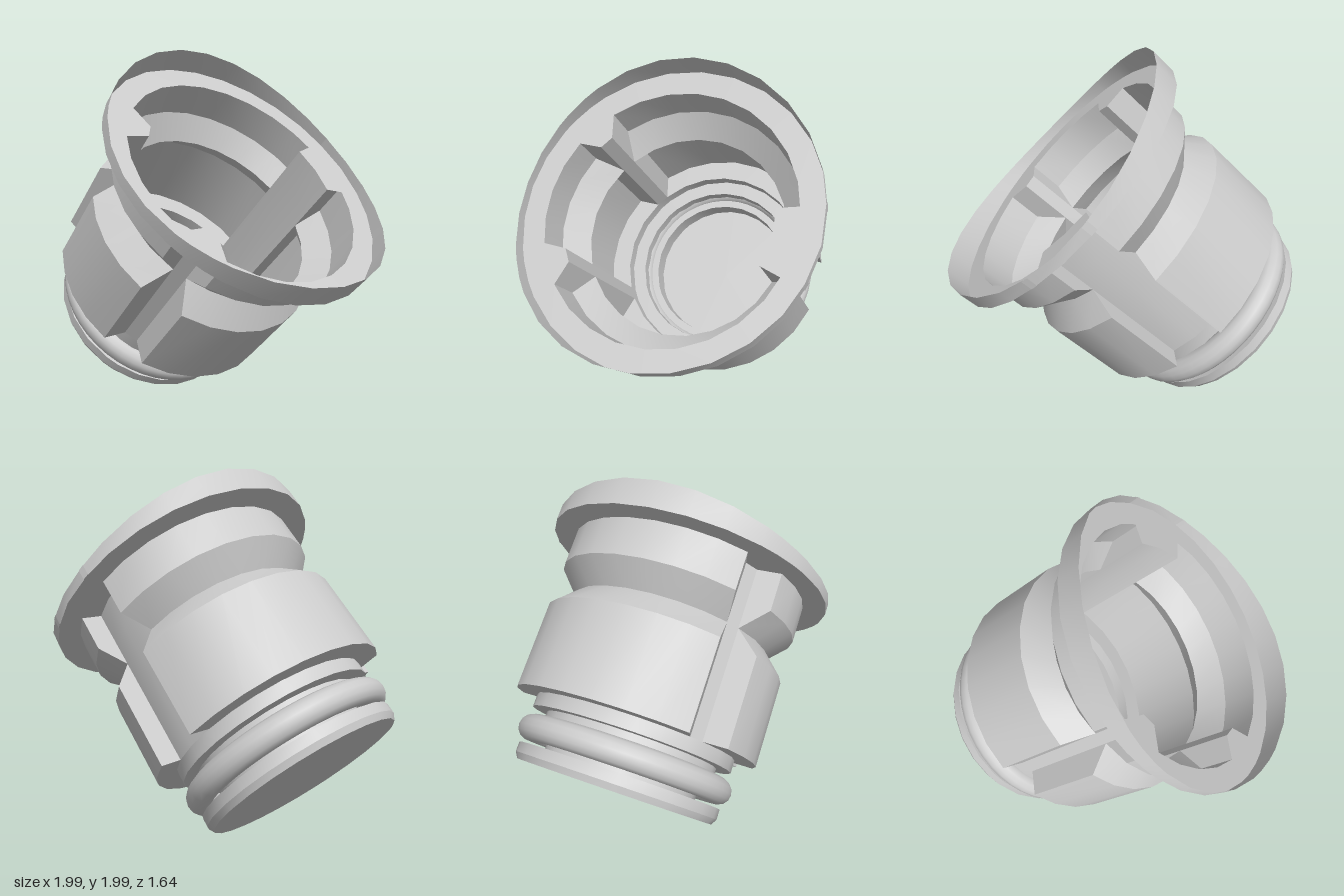
import * as THREE from 'three';
import { toCreasedNormals } from 'three/addons/utils/BufferGeometryUtils.js';

const BASE = 0.572, BULGE = 0.69, RIM = 0.82;

// Cross-section: three bulges of radius R with base-radius strips between them.
// Returns [angle, radius] pairs, angle 0 = front (+z), growing towards +x.
function contour(R) {
  const t = (R - BASE) / (BULGE - BASE);
  const front = r => Math.asin(0.295 / r);
  const side = (r, k) => Math.asin((0.36 + 0.134 * k) / r);
  const back = r => Math.PI - Math.asin(0.15 / r);
  const half = [];
  const arc = (from, to, n, r) => {
    for (let i = 0; i <= n; i++) half.push([from + (to - from) * i / n, r]);
  };
  arc(0, front(R), 2, R);                        // half of the front bulge
  arc(front(BASE), side(BASE, 0), 1, BASE);      // front strip
  arc(side(R, t), back(R), 9, R);                // side bulge
  arc(back(BASE), Math.PI, 1, BASE);             // half of the back strip
  const mirrored = half.slice(1).reverse().map(([a, r]) => [-a, r]);
  return [...mirrored, ...half];
}

// Ring of points following the bulged contour
const bulged = (R, y) => contour(R).map(([a, r]) =>
  new THREE.Vector3(r * Math.sin(a), y, r * Math.cos(a)));

// Round ring sharing the contour's angles; y may depend on x
const round = (r, y, like = BASE) => contour(like).map(([a]) => {
  const x = r * Math.sin(a);
  return new THREE.Vector3(x, typeof y === 'function' ? y(x) : y, r * Math.cos(a));
});

// Skin a stack of rings, skipping collapsed triangles
function loft(name, rows, material, crease = 0.45) {
  const pos = [];
  const tri = new THREE.Triangle();
  const add = (a, b, c) => {
    tri.set(a, b, c);
    if (tri.getArea() > 1e-7) for (const v of [a, b, c]) pos.push(v.x, v.y, v.z);
  };
  for (let i = 0; i < rows.length - 1; i++) {
    const lo = rows[i], hi = rows[i + 1];
    for (let j = 0; j < lo.length - 1; j++) {
      add(lo[j], lo[j + 1], hi[j + 1]);
      add(lo[j], hi[j + 1], hi[j]);
    }
  }
  const geo = new THREE.BufferGeometry();
  geo.setAttribute('position', new THREE.Float32BufferAttribute(pos, 3));
  const mesh = new THREE.Mesh(toCreasedNormals(geo, crease), material);
  mesh.name = name;
  return mesh;
}

export function createModel() {
  const model = new THREE.Group();
  model.name = 'tiltedSocket';
  const mat = new THREE.MeshStandardMaterial({ color: 0xcccccc, side: THREE.DoubleSide });

  // Everything is built upright, then leaned over by 45 degrees
  const socket = new THREE.Group();
  socket.name = 'socket';
  socket.rotation.z = -Math.PI / 4;
  socket.position.set(-0.503, 0.503, 0);
  model.add(socket);

  // Thin-walled body with bulges pinched by a V groove
  socket.add(loft('body', [
    [BASE, 0.212], [BULGE, 0.212], [BULGE, 0.692], [BASE, 0.815],
    [BULGE, 0.94], [BULGE, 1.147],
  ].map(([r, y]) => bulged(r, y)), mat));

  // Flat ledge and thin rim wall, higher at the two sides
  socket.add(loft('rimLedge', [bulged(BULGE, 1.147), round(RIM, 1.147, BULGE)], mat));
  socket.add(loft('rimWall', [
    round(RIM, 1.147, BULGE),
    round(RIM, x => 1.202 + 0.092 * (x / RIM) ** 2, BULGE),
  ], mat));

  // Stepped neck with the ring groove, ending in a closed base flange
  socket.add(loft('neckAndBase', [
    [0, -0.148], [0.552, -0.148], [0.572, -0.115], [0.572, -0.06], [0.43, -0.06],
    [0.43, 0.05], [0.49, 0.05], [0.49, 0.14], [BASE, 0.14], [BASE, 0.212],
  ].map(([r, y]) => round(r, y)), mat));

  // Sealing ring
  const seal = new THREE.Mesh(new THREE.TorusGeometry(0.538, 0.07, 14, 48), mat);
  seal.name = 'sealRing';
  seal.rotation.x = Math.PI / 2;
  seal.position.y = 0.03;
  socket.add(seal);

  return model;
}
